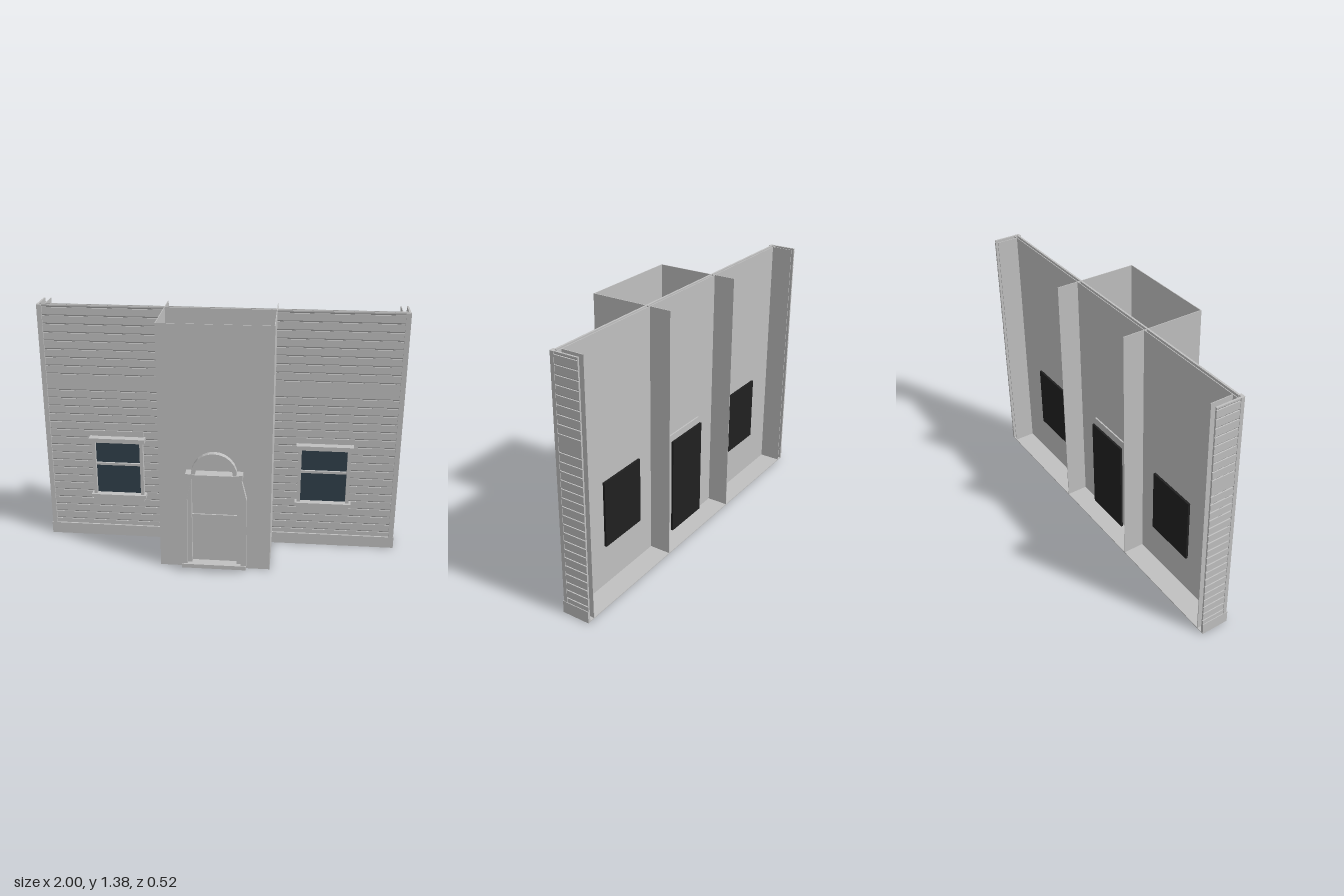
import * as THREE from 'three';

const H = 1.385, BASE = 0.067;

export function createModel() {
  const model = new THREE.Group();
  const plaster = new THREE.MeshStandardMaterial({ color: 0xc0c0c0 });
  plaster.name = 'wallGrey';
  const glass = new THREE.MeshStandardMaterial({ color: 0x30404b });
  glass.name = 'glassBlue';
  const dark = new THREE.MeshStandardMaterial({ color: 0x202020 });
  dark.name = 'backingBlack';

  const add = (name, geo, mat = plaster, parent = model) => {
    const m = new THREE.Mesh(geo, mat);
    m.name = name;
    parent.add(m);
    return m;
  };
  // box given by its limits on each axis
  const box = (name, x0, x1, y0, y1, z0, z1, mat, parent) => {
    const g = new THREE.BoxGeometry(x1 - x0, y1 - y0, z1 - z0);
    g.translate((x0 + x1) / 2, (y0 + y1) / 2, (z0 + z1) / 2);
    return add(name, g, mat, parent);
  };
  // same box on both sides of x = 0
  const pair = (name, x0, x1, ...rest) => {
    box(name + 'Left', x0, x1, ...rest);
    box(name + 'Right', -x1, -x0, ...rest);
  };

  // Grooved siding: section with one notch per course, face at x = 0
  const siding = (length) => {
    const s = new THREE.Shape();
    s.moveTo(-0.01, BASE);
    s.lineTo(0, BASE);
    for (let k = 0; k < 28; k++) {
      if (k === 18) continue;
      const y = 0.096 + 0.0473 * k;
      s.lineTo(0, y - 0.004);
      s.lineTo(-0.006, y - 0.0035);
      s.lineTo(0, y + 0.004);
    }
    s.lineTo(0, H);
    s.lineTo(-0.01, H);
    return new THREE.ExtrudeGeometry(s, { depth: length, bevelEnabled: false });
  };
  const frontLength = 0.672;
  for (const x of [0.972, -0.3]) {
    const g = siding(frontLength).rotateY(-Math.PI / 2);
    add('frontSiding', g.translate(x, 0, -0.115));
  }
  add('sideSidingLeft', siding(0.13).translate(0.996, 0, -0.26));
  add('sideSidingRight', siding(0.13).rotateY(Math.PI).translate(-0.996, 0, -0.13));

  // Corner boards
  pair('cornerBoard', 0.97, 0.995, BASE, H, -0.122, -0.107);
  pair('cornerReturn', 0.985, 0.998, BASE, H, -0.13, -0.113);

  // Inner wall, fins and floor, open at the back and top
  box('innerWall', -0.985, 0.985, 0, H, -0.142, -0.138);
  box('towerBackWall', -0.3, 0.3, 0, H, -0.125, -0.115);
  pair('partition', 0.298, 0.302, 0, H, -0.26, -0.115);
  pair('innerSideWall', 0.953, 0.957, 0, H, -0.26, -0.138);
  box('floor', -1, 1, 0, 0.005, -0.26, -0.105);

  // Plinth
  pair('plinthFront', 0.3, 1, 0, BASE, -0.125, -0.105);
  pair('plinthSide', 0.985, 1, 0, BASE, -0.26, -0.115);

  // Projecting entrance tower, hollow
  box('towerFront', -0.302, 0.302, 0, H, 0.197, 0.201);
  pair('towerSide', 0.298, 0.302, 0, H, -0.115, 0.199);
  box('towerFloor', -0.3, 0.3, 0, 0.005, -0.115, 0.199);

  // Windows
  for (const side of [1, -1]) {
    const w = new THREE.Group();
    w.name = side > 0 ? 'windowLeft' : 'windowRight';
    w.position.x = side * 0.584;
    model.add(w);
    box('pane', -0.128, 0.128, 0.28, 0.608, -0.112, -0.106, glass, w);
    for (const s of [1, -1]) {
      const a = s * 0.127, b = s * 0.146;
      box('jamb', Math.min(a, b), Math.max(a, b), 0.28, 0.608, -0.118, -0.083, plaster, w);
    }
    box('meetingRail', -0.128, 0.128, 0.458, 0.472, -0.112, -0.094, plaster, w);
    box('head', -0.158, 0.158, 0.606, 0.631, -0.118, -0.067, plaster, w);
    box('headFlashing', -0.147, 0.147, 0.631, 0.663, -0.118, -0.11, plaster, w);
    box('sill', -0.158, 0.158, 0.262, 0.283, -0.118, -0.067, plaster, w);
    box('apron', -0.147, 0.147, 0.24, 0.262, -0.118, -0.083, plaster, w);
    box('backing', -0.146, 0.146, 0.255, 0.62, -0.172, -0.16, dark, w);
  }

  // Blanking panels behind the door, and the small inner lintel
  box('rearDoorBacking', -0.14, 0.14, 0.03, 0.585, -0.176, -0.165, dark);
  box('towerDoorBacking', -0.14, 0.14, 0.03, 0.585, 0.165, 0.19, dark);
  box('innerLintel', -0.15, 0.15, 0.588, 0.61, -0.15, -0.08);

  // Door surround: side pilasters leaning in at the top
  const extrude = (pts, depth, z) => {
    const g = new THREE.ExtrudeGeometry(new THREE.Shape(pts), { depth, bevelEnabled: false });
    return g.translate(0, 0, z);
  };
  const P = (x, y) => new THREE.Vector2(x, y);
  for (const s of [1, -1]) {
    const pts = [P(0.145, 0.045), P(0.175, 0.045), P(0.175, 0.44), P(0.145, 0.562), P(0.118, 0.562), P(0.145, 0.44)];
    add('pilaster', extrude(pts.map((p) => P(s * p.x, p.y)), 0.035, 0.22));
  }
  pair('doorJamb', 0.122, 0.147, 0.04, 0.562, 0.2, 0.235);
  box('doorLeaf', -0.123, 0.123, 0.04, 0.562, 0.2, 0.206);
  box('doorRail', -0.123, 0.123, 0.313, 0.33, 0.2, 0.214);
  box('doorLintel', -0.138, 0.138, 0.561, 0.584, 0.2, 0.262);
  pair('lintelBlock', 0.118, 0.152, 0.556, 0.588, 0.204, 0.258);
  box('doorStep', -0.175, 0.175, 0.022, 0.045, 0.2, 0.262);
  box('doorStepFoot', -0.147, 0.147, 0.015, 0.022, 0.2, 0.243);

  // Faceted arch above the lintel
  const arc = (rx, ry, flip) => {
    const pts = [];
    for (let i = 0; i <= 12; i++) {
      const t = (Math.PI * i) / 12;
      pts.push(P(rx * Math.cos(t), 0.582 + ry * Math.sin(t)));
    }
    return flip ? pts.reverse() : pts;
  };
  add('doorArch', extrude([...arc(0.122, 0.123), ...arc(0.1, 0.1, true)], 0.033, 0.222));

  return model;
}
